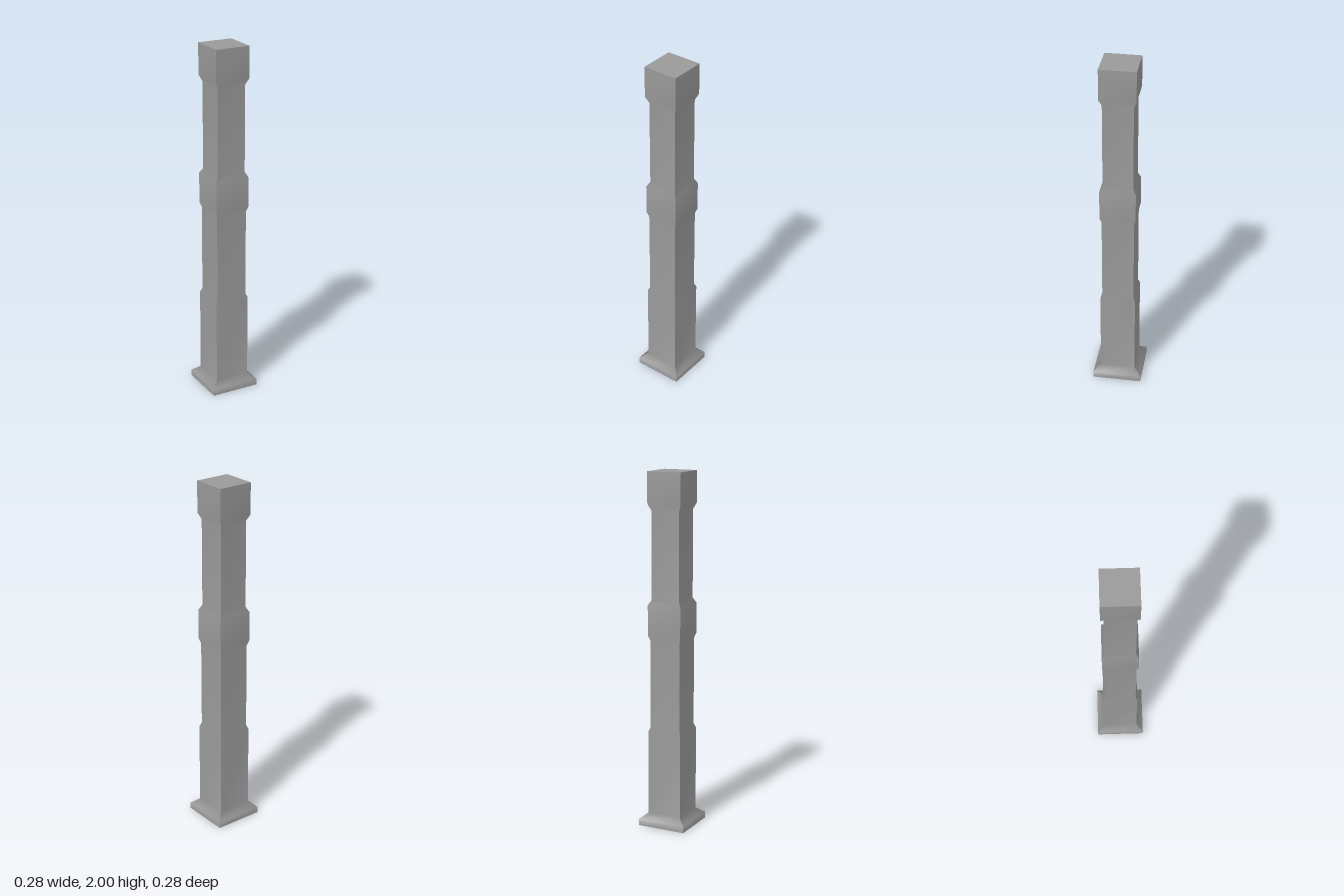
import * as THREE from 'three';

// Half-width and height up the post
const PROFILE = [
  [0.14, 0], [0.14, 0.037], [0.1, 0.07],
  [0.1, 0.55], [0.09, 0.575],
  [0.09, 1.07], [0.1, 1.1],
  [0.1, 1.27], [0.084, 1.3],
  [0.084, 1.79], [0.1, 1.825], [0.1, 2],
];

// One face of the post: a strip smooth along its height, sharp at the corners
function faceGeometry() {
  const positions = [];
  const index = [];
  PROFILE.forEach(([r, y], i) => {
    positions.push(-r, y, r, r, y, r);
    if (i > 0) {
      const a = 2 * (i - 1);
      index.push(a, a + 1, a + 3, a, a + 3, a + 2);
    }
  });
  const geometry = new THREE.BufferGeometry();
  geometry.setAttribute('position', new THREE.Float32BufferAttribute(positions, 3));
  geometry.setIndex(index);
  geometry.computeVertexNormals();
  return geometry;
}

export function createModel() {
  const group = new THREE.Group();
  group.name = 'squarePost';
  const stone = new THREE.MeshStandardMaterial({ color: 0x999999 });
  stone.name = 'grey stone';

  // Four matching sides
  const face = faceGeometry();
  ['front', 'left', 'back', 'right'].forEach((side, i) => {
    const mesh = new THREE.Mesh(face, stone);
    mesh.name = `${side}Face`;
    mesh.rotation.y = (i * Math.PI) / 2;
    group.add(mesh);
  });

  // Flat ends
  const addCap = (name, [r, y], turn) => {
    const cap = new THREE.Mesh(new THREE.PlaneGeometry(2 * r, 2 * r), stone);
    cap.name = name;
    cap.rotation.x = turn;
    cap.position.y = y;
    group.add(cap);
  };
  addCap('topCap', PROFILE[PROFILE.length - 1], -Math.PI / 2);
  addCap('baseUnderside', PROFILE[0], Math.PI / 2);

  return group;
}
